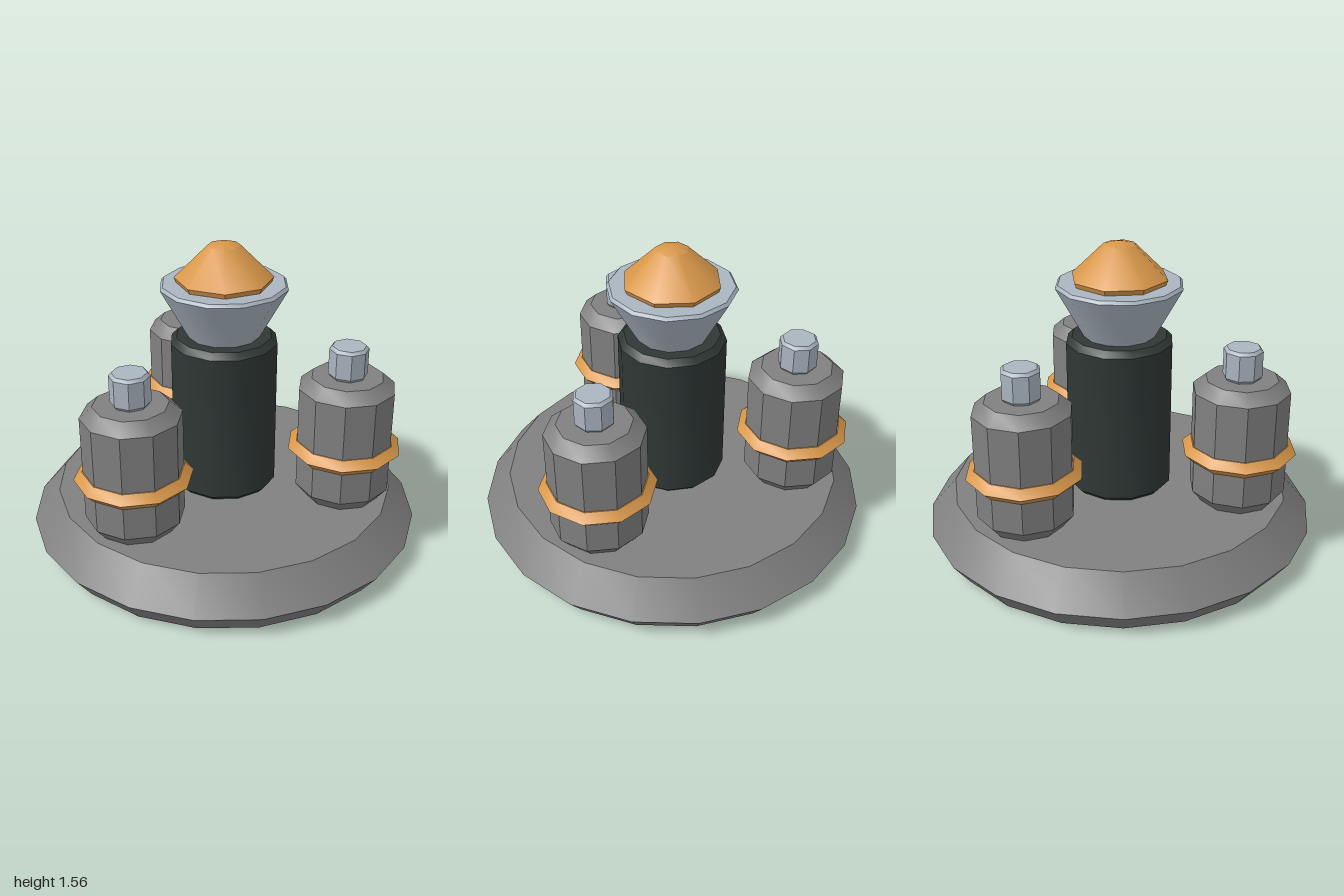
import * as THREE from 'three';
import { toCreasedNormals } from 'three/addons/utils/BufferGeometryUtils.js';

const mat = (name, color) => new THREE.MeshStandardMaterial({ name, color });

// Turned solid with few sides; a corner always lies on the x axis
function turned(name, profile, sides, material) {
  const points = profile.map(([r, y]) => new THREE.Vector2(r, y));
  const lathe = new THREE.LatheGeometry(points, sides, Math.PI / 2);
  const mesh = new THREE.Mesh(toCreasedNormals(lathe, 0.6), material);
  mesh.name = name;
  return mesh;
}

export function createModel() {
  const grey = mat('grey metal', 0x808080);
  const dark = mat('dark metal', 0x2f3836);
  const steel = mat('pale steel', 0xaab5c0);
  const orange = mat('orange', 0xd8974a);

  const model = new THREE.Group();
  model.name = 'device';

  // Wide bevelled base with a dark underside
  model.add(
    turned('base', [[0.92, 0], [1, 0.11], [0.865, 0.27], [0, 0.27]], 20, grey),
    turned('baseUnderside', [[0, 0], [0.92, 0]], 20, dark),
  );

  // Central column, funnel and gem
  model.add(
    turned('column', [[0, 0.27], [0.245, 0.27], [0.27, 0.295], [0.27, 1.055], [0.24, 1.085], [0, 1.085]], 12, dark),
    turned('funnel', [[0, 1.085], [0.18, 1.085], [0.318, 1.34], [0.305, 1.355], [0, 1.355]], 12, steel),
    turned('gem', [[0, 1.35], [0.23, 1.35], [0.243, 1.38], [0.08, 1.54], [0, 1.558]], 8, orange),
  );

  // Three canisters evenly spaced around the column
  for (let i = 0; i < 3; i++) {
    const angle = Math.PI + i * Math.PI * 2 / 3;
    const canister = new THREE.Group();
    canister.name = `canister${i + 1}`;
    canister.position.set(0.622 * Math.cos(angle), 0, 0.622 * Math.sin(angle));
    canister.add(
      turned('tank', [[0, 0.27], [0.19, 0.27], [0.242, 0.335], [0.242, 0.87], [0.18, 0.925], [0, 0.925]], 10, grey),
      turned('band', [[0.235, 0.505], [0.247, 0.505], [0.288, 0.545], [0.247, 0.585], [0.235, 0.585]], 10, orange),
      turned('cap', [[0, 0.925], [0.085, 0.925], [0.097, 0.94], [0.097, 1.07], [0.083, 1.085], [0, 1.085]], 8, steel),
    );
    model.add(canister);
  }
  return model;
}
